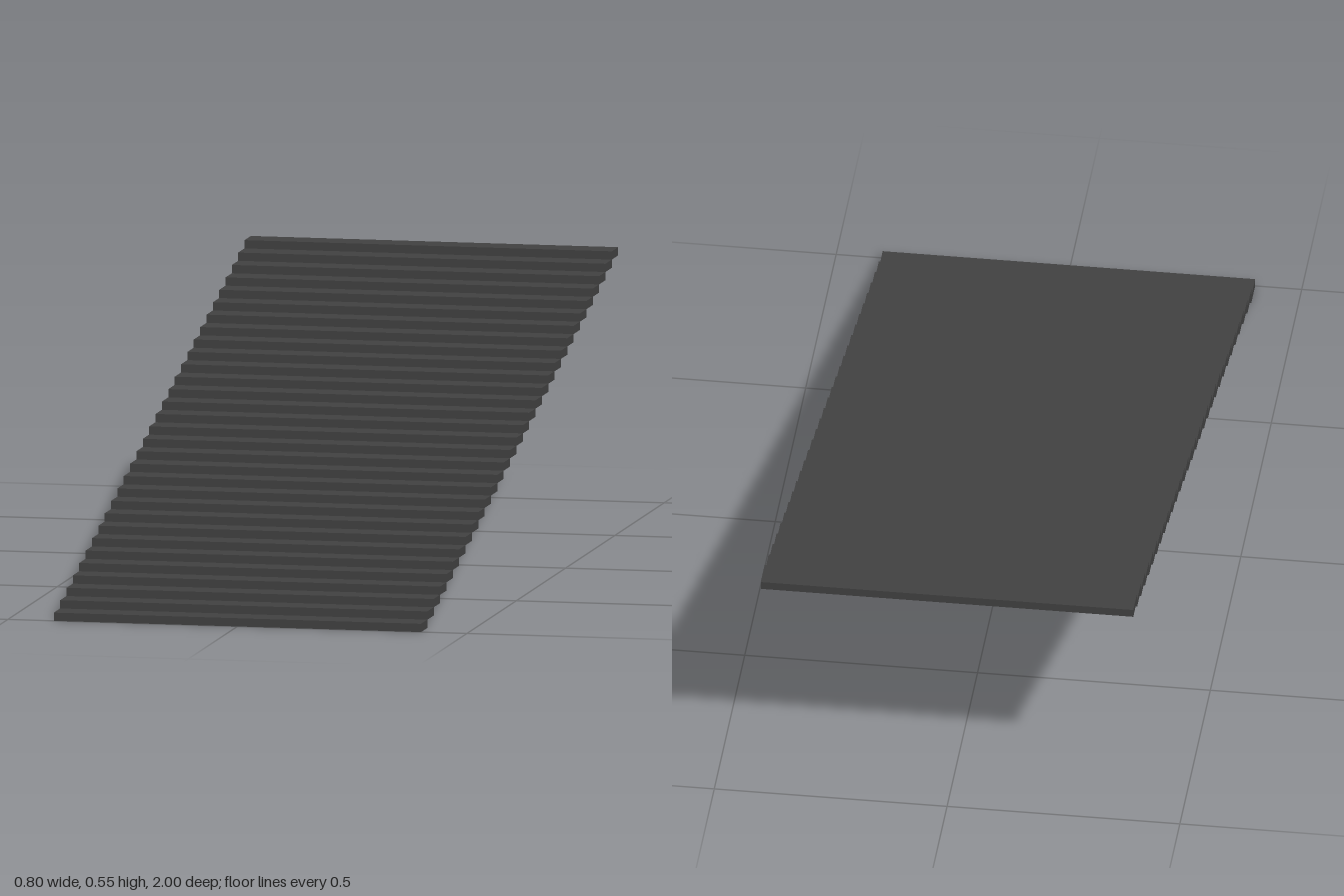
import * as THREE from 'three';

// A flight of thin slab treads, each resting edge to edge on the one before.
export function createModel() {
  const group = new THREE.Group();
  group.name = 'stairs';

  const count = 31;
  const width = 0.8;
  const length = 2;
  const height = 0.547;
  const depth = length / count;
  const rise = height / count;

  const material = new THREE.MeshStandardMaterial({ color: 0x404040 });
  const treadGeometry = new THREE.BoxGeometry(width, rise, depth);

  // Treads climb from the front (+z) to the back (-z)
  for (let i = 0; i < count; i++) {
    const tread = new THREE.Mesh(treadGeometry, material);
    tread.name = `tread${i + 1}`;
    tread.position.set(0, (i + 0.5) * rise, length / 2 - (i + 0.5) * depth);
    group.add(tread);
  }
  return group;
}
